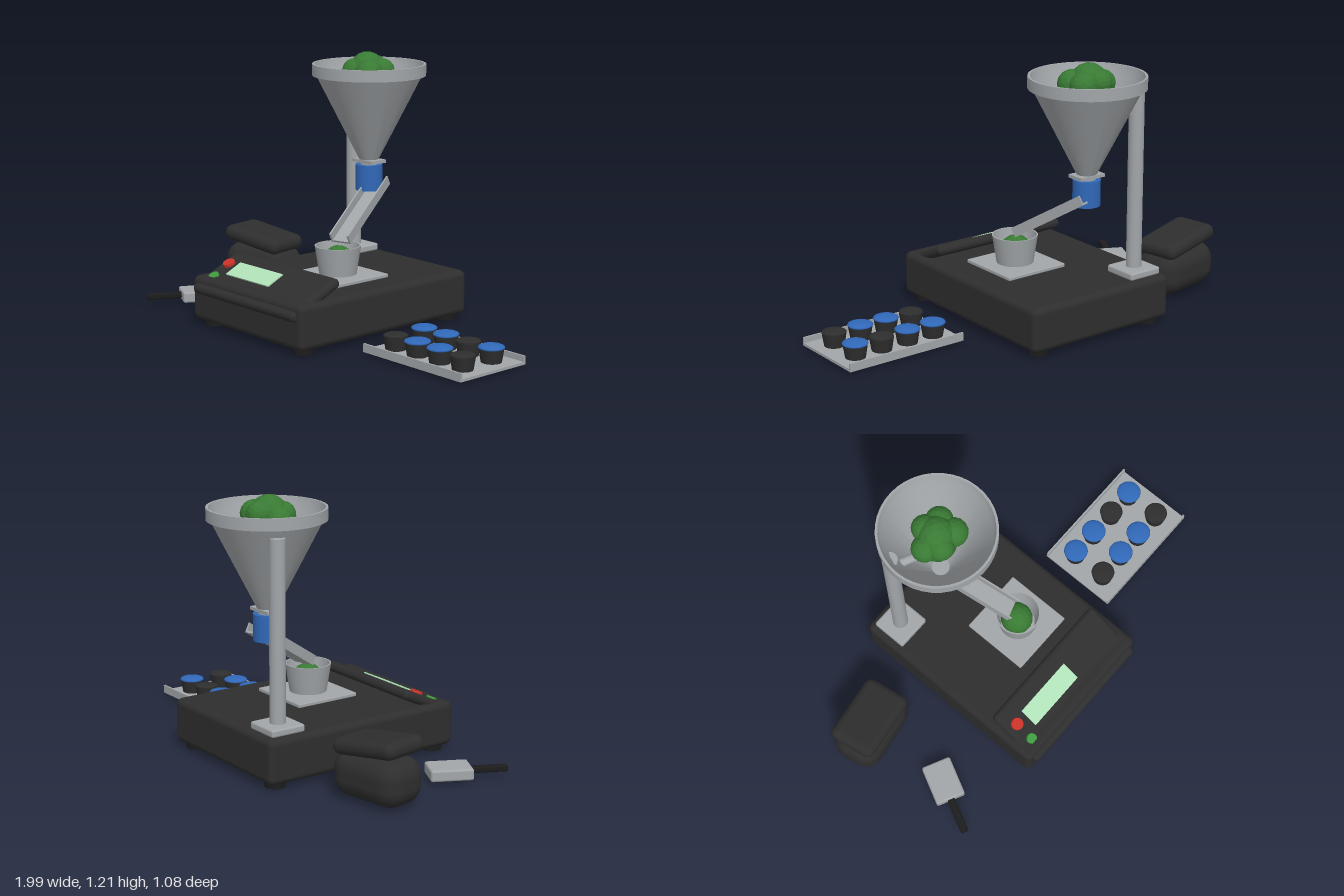
import * as THREE from 'three';
import { toCreasedNormals } from 'three/addons/utils/BufferGeometryUtils.js';
import { RoundedBoxGeometry } from 'three/addons/geometries/RoundedBoxGeometry.js';

const paint = (name, color, extra = {}) => {
  const m = new THREE.MeshStandardMaterial({ color, ...extra });
  m.name = name;
  return m;
};

export function createModel() {
  const model = new THREE.Group();
  model.name = 'dosingStation';

  const black = paint('charcoal', 0x2e2e2e);
  const rubber = paint('rubber', 0x1c1c1c);
  const steel = paint('steel', 0xa2a6a9);
  const sheet = paint('sheetSteel', 0xa2a6a9, { side: THREE.DoubleSide });
  const blue = paint('blue', 0x3068b8);
  const herb = paint('herbGreen', 0x397a34, { flatShading: true });
  const screenGreen = paint('screenGreen', 0xb0e2b8);
  const red = paint('red', 0xc83228);
  const buttonGreen = paint('buttonGreen', 0x3f9a3f);

  const add = (name, geo, mat, x = 0, y = 0, z = 0, parent = model) => {
    const mesh = new THREE.Mesh(geo, mat);
    mesh.name = name;
    mesh.position.set(x, y, z);
    parent.add(mesh);
    return mesh;
  };
  const group = (name, x, y, z, parent = model) => {
    const g = new THREE.Group();
    g.name = name;
    g.position.set(x, y, z);
    parent.add(g);
    return g;
  };
  const box = (w, h, d) => new THREE.BoxGeometry(w, h, d);
  const round = (w, h, d, r, s = 3) => new RoundedBoxGeometry(w, h, d, s, r);
  const cyl = (rt, rb, h, n = 32) => new THREE.CylinderGeometry(rt, rb, h, n);
  const lathe = (pts, n = 48) => toCreasedNormals(
    new THREE.LatheGeometry(pts.map(([r, y]) => new THREE.Vector2(r, y)), n), 0.5);

  // Lumps of chopped herb
  const clump = (name, lumps, x, y, z) => {
    const g = group(name, x, y, z);
    for (const [lx, ly, lz, r] of lumps) {
      const m = add('herbLump', new THREE.IcosahedronGeometry(r, 2), herb, lx, ly, lz, g);
      m.rotation.set(lx * 20, lz * 20, r * 10);
    }
  };

  // Scale body and feet
  add('scaleBody', round(0.77, 0.205, 1.0, 0.03), black, -0.095, 0.1275, 0.02);
  for (const x of [-0.41, 0.22]) for (const z of [-0.41, 0.45])
    add('foot', cyl(0.045, 0.045, 0.03, 24), rubber, x, 0.015, z);

  // Sloping control panel
  const panel = group('controlPanel', -0.095, 0.23, 0.405);
  panel.rotation.x = 0.44;
  add('panelSlab', round(0.71, 0.046, 0.3, 0.022), black, 0, 0, 0, panel);
  add('display', box(0.3, 0.008, 0.094), screenGreen, -0.09, 0.025, -0.025, panel);
  add('stopButton', cyl(0.028, 0.03, 0.016, 16), red, -0.297, 0.028, -0.048, panel);
  add('startButton', cyl(0.024, 0.026, 0.012, 16), buttonGreen, -0.297, 0.026, 0.05, panel);

  // Weighing plate with cup
  add('weighingPlate', round(0.32, 0.018, 0.32, 0.005, 2), steel, -0.01, 0.238, 0.045);
  add('cup', lathe([[0, 0], [0.085, 0], [0.105, 0.13], [0.098, 0.13], [0.079, 0.01], [0, 0.01]]),
    sheet, -0.008, 0.247, 0.05);
  clump('cupFill', [[0, 0, 0, 0.075]], -0.01, 0.3, 0.045);

  // Stand: foot block, post and arm to the hopper
  add('postBase', round(0.17, 0.035, 0.17, 0.01), steel, -0.365, 0.247, -0.365);
  add('post', cyl(0.035, 0.035, 0.83), steel, -0.365, 0.655, -0.365);
  const arm = add('hopperArm', cyl(0.02, 0.02, 0.13, 20), steel, -0.31, 0.98, -0.34);
  arm.quaternion.setFromUnitVectors(new THREE.Vector3(0, 1, 0),
    new THREE.Vector3(0.11, 0, 0.05).normalize());

  // Hopper with rim, outlet flange and blue valve
  const hopper = group('hopper', -0.158, 0, -0.275);
  add('funnel', lathe([
    [0.046, 0.715], [0.245, 1.106], [0.263, 1.106], [0.263, 1.16],
    [0.252, 1.16], [0.24, 1.112], [0.04, 0.72],
  ], 40), sheet, 0, 0, 0, hopper);
  add('outletFlange', box(0.135, 0.015, 0.09), steel, 0, 0.706, 0, hopper);
  add('outletNeck', cyl(0.042, 0.042, 0.04), steel, 0, 0.7, 0, hopper);
  add('valve', cyl(0.063, 0.063, 0.12, 24), blue, 0, 0.63, 0, hopper);
  clump('hopperFill', [
    [0, 0.005, 0, 0.085], [-0.075, -0.01, 0.0, 0.06], [0.06, -0.005, 0.045, 0.065],
    [0.06, 0.0, -0.035, 0.062], [-0.01, 0.01, -0.055, 0.06], [-0.03, 0, 0.05, 0.06],
    [0.0, -0.07, 0, 0.09],
  ], -0.168, 1.125, -0.272);

  // Open chute from the valve to the cup
  const top = new THREE.Vector3(-0.128, 0.617, -0.315);
  const end = new THREE.Vector3(-0.018, 0.4, 0.03);
  const length = top.distanceTo(end);
  const chute = group('chute', 0, 0, 0);
  chute.position.copy(top).lerp(end, 0.5);
  chute.lookAt(end);
  add('chuteFloor', box(0.095, 0.009, length), steel, 0, -0.018, 0, chute);
  for (const s of [-1, 1])
    add('chuteWall', box(0.008, 0.046, length), steel, s * 0.046, 0, 0, chute);

  // Tray with two rows of capsules
  const tray = group('tray', 0.7, 0, 0.077);
  add('trayFloor', box(0.59, 0.012, 0.385), steel, 0, 0.016, 0, tray);
  for (const s of [-1, 1])
    add('trayLip', box(0.59, 0.038, 0.009), steel, 0, 0.029, s * 0.188, tray);
  [[1, 1, 0, 1], [0, 1, 1, 0]].forEach((row, r) => row.forEach((lidded, c) => {
    const capsule = group('capsule', 0.495 + c * 0.135, 0.022, r ? 0.162 : -0.008);
    add('capsuleCup', cyl(0.055, 0.045, 0.062, 24), black, 0, 0.031, 0, capsule);
    const lid = add('capsuleLid', new THREE.SphereGeometry(lidded ? 0.058 : 0.054, 20, 10),
      lidded ? blue : black, 0, 0.064, 0, capsule);
    lid.scale.y = lidded ? 0.24 : 0.14;
  }));

  // Soft pouch with a tilted flap
  const pouch = group('pouch', -0.805, 0, -0.165);
  pouch.rotation.y = 0.17;
  add('pouchBody', round(0.37, 0.21, 0.235, 0.085), black, 0, 0.115, 0, pouch);
  const flap = add('pouchFlap', round(0.34, 0.075, 0.225, 0.036), black, 0, 0.25, 0, pouch);
  flap.rotation.z = -0.14;

  // Scoop
  const scoop = group('scoop', -0.775, 0, 0.25);
  scoop.rotation.y = -0.46;
  add('scoopBlade', round(0.14, 0.052, 0.19, 0.01, 2), steel, 0, 0.039, 0, scoop);
  add('scoopHandle', round(0.035, 0.028, 0.17, 0.008, 2), rubber, 0, 0.04, 0.175, scoop);

  return model;
}
